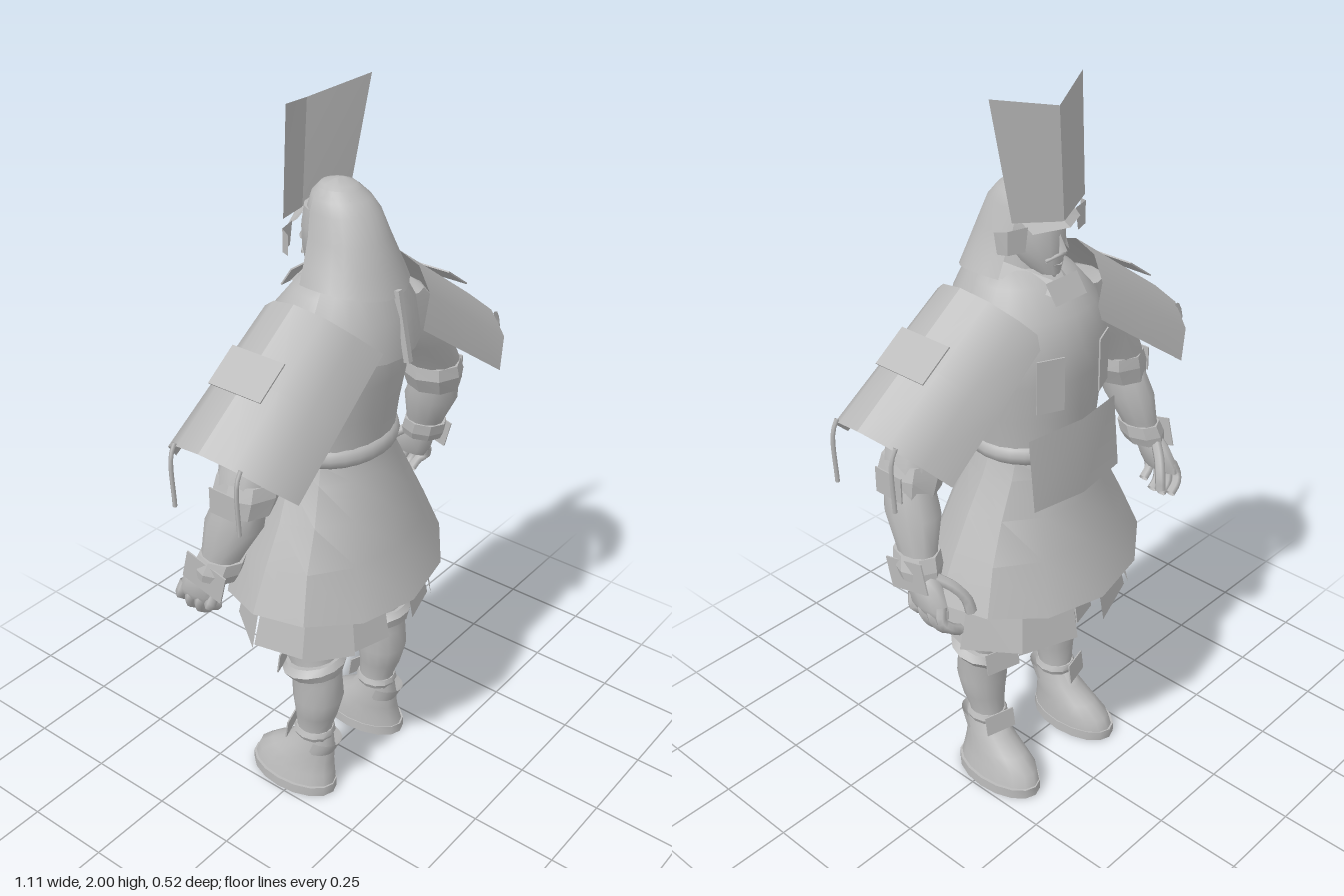
import * as THREE from 'three';
import { toCreasedNormals } from 'three/addons/utils/BufferGeometryUtils.js';

const grey = new THREE.MeshStandardMaterial({ color: 0xbababa, side: THREE.DoubleSide });
grey.name = 'plain grey';

function add(parent, name, geometry) {
  const mesh = new THREE.Mesh(geometry, grey);
  mesh.name = name;
  parent.add(mesh);
  return mesh;
}

// Grid of points to a surface; caps close the first and last rings
function surface(rows, capped, crease) {
  const pos = [], idx = [], m = rows[0].length;
  rows.forEach(r => r.forEach(p => pos.push(...p)));
  for (let i = 0; i < rows.length - 1; i++)
    for (let j = 0; j < m - 1; j++) {
      const a = i * m + j, b = a + 1, c = a + m, d = c + 1;
      idx.push(a, b, c, b, d, c);
    }
  if (capped) {
    const end = (rows.length - 1) * m;
    for (let j = 1; j < m - 2; j++) idx.push(0, j + 1, j, end, end + j, end + j + 1);
  }
  const g = new THREE.BufferGeometry();
  g.setAttribute('position', new THREE.Float32BufferAttribute(pos, 3));
  g.setIndex(idx);
  return toCreasedNormals(g, crease);
}

// Oval rings listed downward: [y, rx, rz, cx, cz, drop at front and back]
function loft(rings, { n = 16, from = 0, to = 360, crease = 0.7, cap = true } = {}) {
  const rows = rings.map(([y, rx, rz, cx = 0, cz = 0, drop = 0]) => {
    const row = [];
    for (let j = 0; j <= n; j++) {
      const a = THREE.MathUtils.degToRad(from + (to - from) * j / n);
      row.push([cx + rx * Math.cos(a), y - drop * Math.sin(a) ** 2, cz + rz * Math.sin(a)]);
    }
    return row;
  });
  return surface(rows, cap && to - from === 360, crease);
}

function sheet(parent, name, rows, crease = 0.1) {
  return add(parent, name, surface(rows, false, crease));
}

// Thin rectangular tag
function tag(parent, name, w, h, p, r, order = 'XYZ') {
  const mesh = add(parent, name, new THREE.BoxGeometry(w, h, 0.004));
  mesh.position.set(...p);
  mesh.rotation.set(...r, order);
}

function tube(parent, name, points, radius, sides = 6) {
  const curve = new THREE.CatmullRomCurve3(points.map(p => new THREE.Vector3(...p)));
  add(parent, name, new THREE.TubeGeometry(curve, 8, radius, sides));
}

function buildHead(g) {
  add(g, 'face', loft([[1.72, .07, .075, 0, -.01], [1.67, .074, .084, 0, -.01],
    [1.62, .07, .085, 0, -.01], [1.58, .052, .075, 0, -.02], [1.55, .03, .045, 0, -.045]]));
  add(g, 'neck', loft([[1.62, .058, .06, 0, .02], [1.5, .075, .075, 0, .02]]));
  const nose = add(g, 'nose', new THREE.ConeGeometry(.014, .045, 4));
  nose.position.set(0, 1.635, -.1);
  nose.rotation.x = .25;
  tube(g, 'moustache', [[-.035, 1.59, -.08], [0, 1.602, -.096], [.035, 1.59, -.08]], .005);
  const beard = add(g, 'beard', new THREE.ConeGeometry(.022, .045, 6));
  beard.position.set(0, 1.555, -.078);
  beard.rotation.x = Math.PI;
  // Cap and draped hood, open at the face
  add(g, 'cap', loft([[1.79, .012, .012, 0, .005], [1.78, .04, .045, 0, .005], [1.755, .065, .073, 0, .01],
    [1.72, .078, .088, 0, .015], [1.68, .083, .09, 0, .018]], { n: 20, crease: 1 }));
  add(g, 'hood', loft([[1.772, .049, .056, 0, .006], [1.75, .069, .078, 0, .012], [1.72, .083, .096, 0, .02],
    [1.66, .1, .11, 0, .032], [1.6, .126, .122, 0, .042],
    [1.56, .147, .135, 0, .05, .03]], { n: 16, from: -28, to: 208, crease: 1.2 }));
  // Tall folded crest and its visor
  sheet(g, 'crest', [
    [[-.16, 2, -.02], [0, 1.965, -.09], [.16, 2, -.02]],
    [[-.13, 1.71, -.06], [0, 1.69, -.108], [.13, 1.71, -.06]]]);
  sheet(g, 'visor', [
    [[-.09, 1.7, -.05], [0, 1.705, -.085], [.09, 1.7, -.05]],
    [[-.085, 1.675, -.085], [0, 1.68, -.128], [.085, 1.675, -.085]]]);
  for (const s of [-1, 1])
    sheet(g, 'earFlap', [[[s * .085, 1.69, -.07], [s * .14, 1.69, -.055], [s * .155, 1.685, -.025]],
      [[s * .095, 1.63, -.07], [s * .14, 1.63, -.055], [s * .15, 1.63, -.03]]]);
}

function buildTorso(g) {
  add(g, 'torso', loft([[1.56, .09, .08, 0, .03], [1.53, .135, .115, 0, .02], [1.46, .19, .155, 0, .005],
    [1.38, .208, .175, 0, 0], [1.3, .205, .172, 0, -.003], [1.2, .188, .16, 0, -.008],
    [1.1, .175, .15, 0, -.01]], { n: 24 }));
  add(g, 'backCape', loft([[1.57, .12, .125, 0, .04], [1.48, .175, .155, 0, .045],
    [1.4, .2, .165, 0, .042, .025]], { n: 10, from: 5, to: 175, crease: 1 }));
  const fold = add(g, 'backFold', new THREE.BoxGeometry(.016, .185, .016));
  fold.position.set(0, 1.458, .203);
  fold.rotation.x = -.2;
  const belt = add(g, 'belt', new THREE.TorusGeometry(.165, .032, 10, 28));
  belt.rotation.x = Math.PI / 2;
  belt.scale.set(.95, .84, 1);
  belt.position.set(0, 1.1, -.01);
  add(g, 'skirt', loft([[1.08, .17, .145, 0, -.01], [1.03, .19, .155, 0, -.008], [.93, .24, .18],
    [.82, .3, .212], [.705, .355, .262, 0, 0, .04]], { n: 12, crease: .55, cap: false }));
  // Front cloths
  sheet(g, 'apron', [[[.165, 1.17, -.145], [0, 1.18, -.178], [-.165, 1.17, -.145]],
    [[.165, .97, -.165], [0, .965, -.187], [-.165, .97, -.165]]], 1);
  tag(g, 'collarTag', .11, .06, [0, 1.52, -.118], [.6, 0, 0]);
  for (const s of [-1, 1]) {
    tag(g, 'chestTag', .075, .145, [s * .1, 1.305, -.158], [0, -s * .42, 0]);
    sheet(g, 'collar', [[[s * .085, 1.58, .02], [s * .02, 1.54, -.09]],
      [[s * .115, 1.55, .01], [s * .045, 1.51, -.112]]]);
  }
}

function buildArm(g) {
  add(g, 'upperArm', loft([[1.45, .07, .08, .2, .03], [1.36, .09, .085, .26, .035], [1.26, .085, .083, .325, .035],
    [1.18, .075, .078, .38, .033], [1.1, .06, .07, .41, .03]], { n: 12, crease: 1 }));
  add(g, 'elbowCuff', loft([[1.165, .075, .083, .385, .034], [1.13, .085, .087, .39, .034],
    [1.08, .072, .078, .403, .03]], { n: 8, crease: .2 }));
  add(g, 'forearm', loft([[1.1, .058, .068, .412, .028], [1.03, .064, .08, .42, .01], [.95, .048, .06, .435, -.015],
    [.88, .036, .048, .448, -.035]], { n: 12, crease: 1 }));
  add(g, 'wristCuff', loft([[.935, .053, .066, .438, -.018], [.9, .058, .068, .445, -.028],
    [.875, .05, .062, .449, -.035]], { n: 8, crease: .2 }));
  tag(g, 'wristPlate', .13, .085, [.49, .885, -.035], [0, Math.PI / 2, .25], 'YXZ');
  tag(g, 'elbowPlate', .09, .07, [.475, 1.115, .03], [0, Math.PI / 2, 0]);
  // Hand with curled fingers
  add(g, 'palm', loft([[.9, .03, .04, .45, -.04], [.86, .034, .058, .456, -.06],
    [.81, .029, .063, .463, -.082], [.79, .02, .058, .463, -.09]], { n: 10, crease: 1 }));
  for (let i = 0; i < 4; i++) {
    const z = -.038 - i * .033;
    const low = i === 0 ? .755 : .732 + Math.max(0, i - 2) * .012;
    tube(g, 'finger', [[.465, .82, z + .01], [.474, .785, z], [.458, low + .02, z - .012], [.428, low, z - .016]], .0145);
  }
  tube(g, 'thumb', [[.445, .88, -.08], [.412, .85, -.12], [.39, .81, -.143], [.385, .775, -.15]], .0155);
}

function buildShoulderPad(g) {
  // Arched lower edge swept up toward the neck, creased along the ridge
  const edge = [[.43, 1.17, .225], [.5, 1.235, .19], [.54, 1.28, .12], [.557, 1.298, .035],
    [.54, 1.28, -.05], [.5, 1.235, -.12], [.44, 1.17, -.155]];
  const rows = [1, .5, 0].map(t => edge.map(([x, y, z]) =>
    [x - .347 * t, y + .247 * t, .035 + (z - .035) * (1 - .1 * t)]));
  sheet(g, 'shoulderPadBack', rows.map(r => r.slice(0, 4)), 1);
  sheet(g, 'shoulderPadFront', rows.map(r => r.slice(3)), 1);
  tag(g, 'padPlate', .11, .16, [.378, 1.429, .03], [-Math.PI / 2, 0, -.62], 'ZXY');
  for (const z of [-.065, .14])
    tube(g, 'tassel', [[.53, 1.28, z], [.545, 1.25, z], [.543, 1.11, z]], .006, 5);
}

function buildLeg(g) {
  add(g, 'thigh', loft([[.8, .12, .125, .135, 0], [.66, .117, .115, .138, 0], [.58, .09, .098, .143, 0],
    [.53, .07, .085, .147, .005], [.45, .064, .075, .15, .035]], { n: 14, crease: 1 }));
  const band = add(g, 'kneeBand', loft([[.022, .076, .08], [.004, .093, .09], [-.022, .074, .08]], { n: 14 }));
  band.position.set(.153, .436, .042);
  band.rotation.x = -.22;
  add(g, 'shin', loft([[.44, .075, .075, .15, .042], [.4, .067, .072, .15, .047], [.33, .07, .073, .15, .051],
    [.27, .06, .062, .15, .046], [.22, .048, .053, .148, .036], [.18, .048, .053, .148, .035]], { n: 14, crease: 1 }));
  add(g, 'ankleBand', loft([[.21, .051, .057, .148, .035], [.195, .058, .062, .148, .035],
    [.18, .051, .056, .148, .035]], { n: 12 }));
  add(g, 'shoe', loft([[.19, .045, .052, .148, .04], [.14, .054, .075, .15, .025], [.1, .06, .105, .154, -.005],
    [.065, .068, .13, .158, -.025], [.025, .074, .14, .163, -.028]], { n: 16, crease: 1 }));
  add(g, 'shoeCuff', loft([[.18, .05, .068, .148, .056], [.135, .05, .062, .15, .04]],
    { n: 10, from: 10, to: 170, crease: 1 }));
  add(g, 'sole', loft([[.03, .079, .143, .165, -.028], [0, .08, .143, .165, -.028]], { n: 16 }));
  tag(g, 'kneeTag', .1, .065, [.17, .435, -.05], [.15, -.3, 0]);
  tag(g, 'ankleTag', .09, .06, [.165, .195, -.033], [.15, -.3, 0]);
  // Split panels hanging below the skirt
  const angles = [-79, -46, -10, 28, 56, 79];
  const at = (deg, rx, rz, y) => {
    const a = deg * Math.PI / 180;
    return [rx * Math.cos(a), y, rz * Math.sin(a)];
  };
  for (let i = 0; i < 5; i++) {
    const k = i % 2 * .012, a = angles[i], b = angles[i + 1], low = i < 1 ? .538 : .553;
    sheet(g, 'skirtPanel', [[at(a, .26 + k, .185 + k, .76), at(b, .26 + k, .185 + k, .76)],
      [at(a - 1, .312 + k, .226 + k, low), at(b + 1, .312 + k, .226 + k, low)]]);
  }
}

export function createModel() {
  const model = new THREE.Group();
  model.name = 'armouredFigure';
  const part = (name, build, mirror = 1) => {
    const g = new THREE.Group();
    g.name = name;
    g.scale.x = mirror;
    build(g);
    model.add(g);
  };
  part('head', buildHead);
  part('body', buildTorso);
  for (const [side, s] of [['left', 1], ['right', -1]]) {
    part(side + 'Arm', buildArm, s);
    part(side + 'Shoulder', buildShoulderPad, s);
    part(side + 'Leg', buildLeg, s);
  }
  return model;
}
